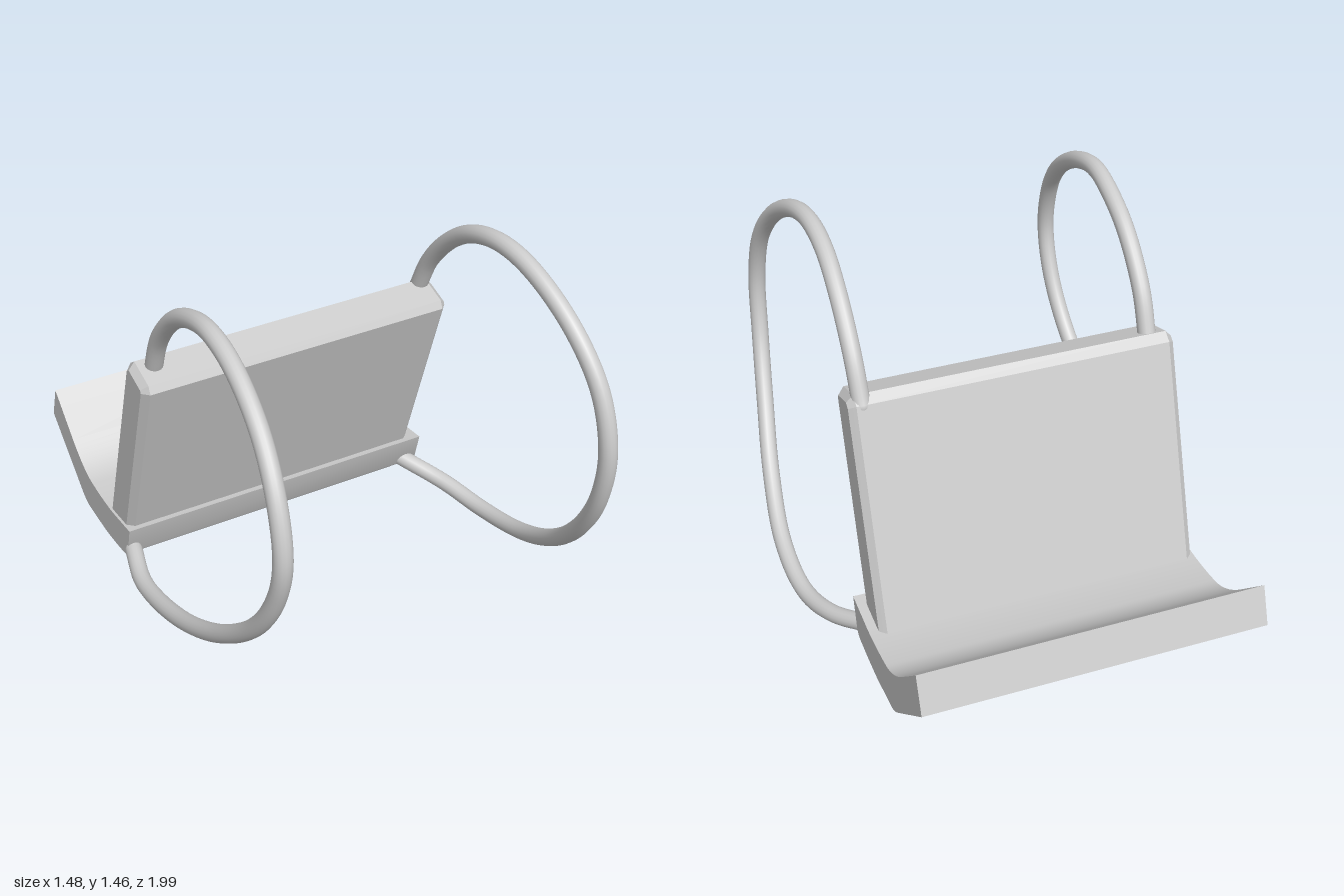
import * as THREE from 'three';
import { toCreasedNormals } from 'three/addons/utils/BufferGeometryUtils.js';

const grey = new THREE.MeshStandardMaterial({ color: 0xcccccc });

// Side profile as (distance behind the origin, height), extruded across x.
function sideExtrusion(name, shape, x0, x1, bevel, crease) {
  const geo = new THREE.ExtrudeGeometry(shape, {
    depth: x1 - x0 - 2 * bevel, curveSegments: 10, bevelEnabled: bevel > 0,
    bevelThickness: bevel, bevelSize: bevel, bevelOffset: -bevel, bevelSegments: 1,
  });
  geo.translate(0, 0, x0 + bevel);
  geo.rotateY(Math.PI / 2);
  const mesh = new THREE.Mesh(toCreasedNormals(geo, crease), grey);
  mesh.name = name;
  return mesh;
}

// Round strap through points, with domed ends.
function strap(name, points) {
  const radius = 0.033;
  const curve = new THREE.CatmullRomCurve3(points.map(p => new THREE.Vector3(...p)), false, 'centripetal');
  const group = new THREE.Group();
  group.name = name;
  group.add(new THREE.Mesh(new THREE.TubeGeometry(curve, 96, radius, 16), grey));
  for (const t of [0, 1]) {
    const cap = new THREE.Mesh(new THREE.SphereGeometry(radius, 16, 10), grey);
    cap.position.copy(curve.getPoint(t));
    group.add(cap);
  }
  return group;
}

export function createModel() {
  const model = new THREE.Group();

  // Body sits slightly turned and tilted relative to the straps
  const body = new THREE.Group();
  body.name = 'body';
  body.rotation.set(0, -0.019, 0.007);
  model.add(body);

  // Leaning back panel with chamfered edges
  const panel = new THREE.Shape([
    [0.01, 0.96], [0.024, 0.99], [0.14, 1.026], [0.176, 1.0], [0.475, 0.12], [0.3, 0.1],
  ].map(p => new THREE.Vector2(...p)));
  body.add(sideExtrusion('backPanel', panel, -0.675, 0.555, 0.025, 0.3));

  // Scooped tray under the panel, rising at the back
  const tray = new THREE.Shape();
  tray.moveTo(0.235, 0.22);
  tray.lineTo(0.27, 0.095);
  tray.quadraticCurveTo(0.28, 0.07, 0.32, 0.066);
  tray.quadraticCurveTo(0.42, 0.052, 0.5, 0.05);
  tray.lineTo(0.66, 0.058);
  tray.quadraticCurveTo(0.69, 0.062, 0.72, 0.085);
  tray.lineTo(0.987, 0.31);
  tray.lineTo(0.935, 0.45);
  tray.lineTo(0.78, 0.305);
  tray.quadraticCurveTo(0.68, 0.215, 0.6, 0.208);
  tray.quadraticCurveTo(0.5, 0.195, 0.4, 0.2);
  tray.closePath();
  body.add(sideExtrusion('tray', tray, -0.685, 0.59, 0, 0.5));

  // Shoulder straps, looping forward from panel top to tray front
  model.add(strap('rightStrap', [
    [-0.595, 0.98, -0.13], [-0.6, 1.15, -0.05], [-0.605, 1.31, 0.1], [-0.61, 1.39, 0.25],
    [-0.618, 1.42, 0.4], [-0.622, 1.38, 0.56], [-0.635, 1.26, 0.75], [-0.655, 1.1, 0.885],
    [-0.665, 0.9, 0.94], [-0.668, 0.71, 0.89], [-0.68, 0.52, 0.77], [-0.698, 0.33, 0.55],
    [-0.71, 0.19, 0.29], [-0.71, 0.11, 0.03], [-0.698, 0.09, -0.12], [-0.66, 0.105, -0.27],
  ]));
  model.add(strap('leftStrap', [
    [0.5, 0.99, -0.14], [0.5, 1.15, -0.06], [0.495, 1.31, 0.09], [0.49, 1.4, 0.24],
    [0.493, 1.432, 0.4], [0.505, 1.4, 0.56], [0.528, 1.28, 0.76], [0.55, 1.11, 0.9],
    [0.561, 0.9, 0.96], [0.575, 0.68, 0.925], [0.61, 0.45, 0.795], [0.66, 0.24, 0.59],
    [0.697, 0.09, 0.34], [0.69, 0.035, 0.09], [0.64, 0.058, -0.1], [0.54, 0.11, -0.27],
  ]));

  return model;
}
